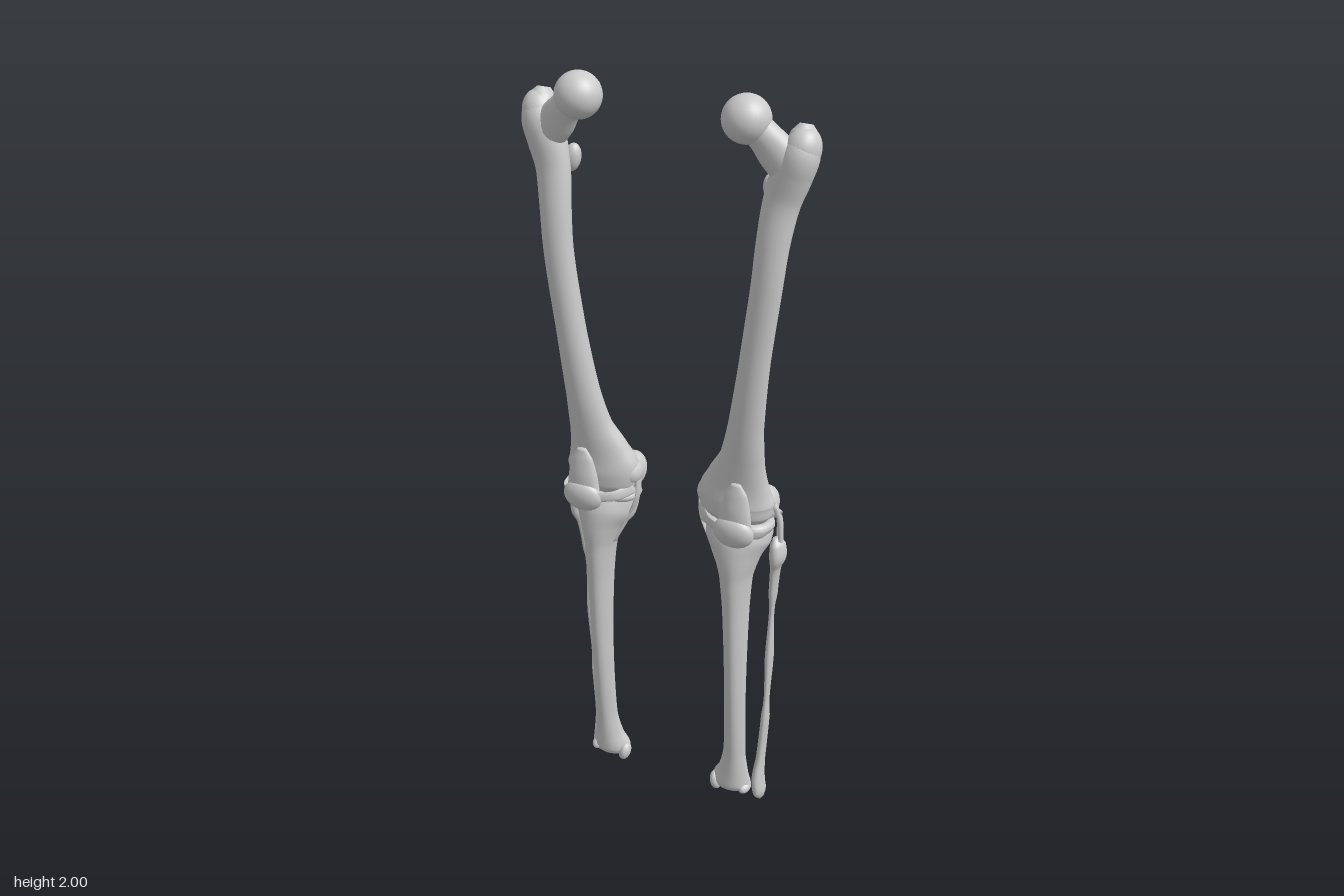
import * as THREE from 'three';

const material = new THREE.MeshStandardMaterial({ color: 0xcccccc, side: THREE.DoubleSide });

// Smooth closed sweep through rows [x, y, z, halfWidth, halfDepth];
// ridge > 0 makes the section three-cornered with one corner to the front.
function sweep(rows, { ridge = 0, sides = 24, steps = 6, m = 1 } = {}) {
  const path = new THREE.CatmullRomCurve3(rows.map(r => new THREE.Vector3(r[0] * m, r[1], r[2])));
  const size = new THREE.CatmullRomCurve3(rows.map(r => new THREE.Vector3(r[3], r[4], 0)));
  const n = (rows.length - 1) * steps;
  const pos = [], index = [];
  const front = new THREE.Vector3(0, 0, 1);
  const ring = (t, k) => {
    const c = path.getPoint(t), r = size.getPoint(t), T = path.getTangent(t);
    const side = T.clone().cross(front).normalize();
    const up = side.clone().cross(T);
    for (let j = 0; j < sides; j++) {
      const a = (j / sides) * Math.PI * 2;
      const f = k * (1 - ridge * Math.sin(3 * a));
      const p = c.clone().addScaledVector(side, Math.cos(a) * r.x * f).addScaledVector(up, Math.sin(a) * r.y * f);
      pos.push(p.x, p.y, p.z);
    }
  };
  ring(0, 0);
  for (let i = 0; i <= n; i++) ring(i / n, 1);
  ring(1, 0);
  for (let i = 0; i < n + 2; i++) {
    for (let j = 0; j < sides; j++) {
      const k = (j + 1) % sides, a = i * sides + j, b = i * sides + k;
      index.push(a, a + sides, b, b, a + sides, b + sides);
    }
  }
  const g = new THREE.BufferGeometry();
  g.setAttribute('position', new THREE.Float32BufferAttribute(pos, 3));
  g.setIndex(index);
  g.computeVertexNormals();
  return g;
}

function createLeg(m) {
  const leg = new THREE.Group();
  const add = (name, geometry) => {
    const mesh = new THREE.Mesh(geometry, material);
    mesh.name = name;
    leg.add(mesh);
    return mesh;
  };
  const bone = (name, rows, opt = {}) => add(name, sweep(rows, { ...opt, m }));
  const band = (name, w, d, pts) => add(name, sweep(pts.map(p => [...p, w, d]), { sides: 10, m }));
  const blob = (name, [x, y, z], [rx, ry, rz], tilt = 0, lean = 0) => {
    const mesh = add(name, new THREE.SphereGeometry(1, 28, 20).scale(rx, ry, rz));
    mesh.position.set(x * m, y, z);
    mesh.rotation.set(lean, 0, tilt * m);
  };

  // Thigh bone: shaft with the flared upper and lower ends
  bone('femurShaft', [
    [0.312, 1.937, -0.008, 0.014, 0.02], [0.312, 1.92, -0.002, 0.029, 0.032],
    [0.31, 1.875, 0.015, 0.043, 0.046], [0.294, 1.83, 0.02, 0.046, 0.042],
    [0.277, 1.77, 0.027, 0.042, 0.034], [0.266, 1.68, 0.042, 0.038, 0.032],
    [0.258, 1.58, 0.05, 0.036, 0.032], [0.236, 1.4, 0.048, 0.036, 0.034],
    [0.214, 1.22, 0.036, 0.043, 0.036], [0.201, 1.12, 0.022, 0.056, 0.039],
    [0.187, 1.05, 0.008, 0.08, 0.047], [0.18, 1.0, 0.0, 0.097, 0.057],
    [0.181, 0.965, 0.0, 0.092, 0.055], [0.181, 0.945, 0.0, 0.075, 0.042]]);
  bone('femurNeck', [
    [0.3, 1.835, 0.02, 0.045, 0.036], [0.265, 1.875, 0.026, 0.045, 0.034],
    [0.232, 1.915, 0.036, 0.037, 0.032], [0.2, 1.945, 0.043, 0.036, 0.036]]);
  blob('femurHead', [0.198, 1.947, 0.044], [0.054, 0.053, 0.054]);
  blob('greaterTrochanter', [0.312, 1.885, 0.01], [0.041, 0.052, 0.045], -0.25);
  blob('lesserTrochanter', [0.243, 1.785, -0.004], [0.02, 0.034, 0.02], 0.2);

  // Rounded knuckles of the knee
  blob('medialCondyle', [0.125, 0.975, -0.045], [0.036, 0.048, 0.05]);
  blob('lateralCondyle', [0.238, 0.97, -0.043], [0.034, 0.045, 0.047]);
  blob('medialEpicondyle', [0.107, 0.995, -0.005], [0.03, 0.035, 0.035]);

  // Kneecap below its pointed tendon
  bone('kneecapTendon', [
    [0.205, 1.072, 0.066, 0.012, 0.006], [0.205, 1.045, 0.066, 0.028, 0.013],
    [0.204, 1.0, 0.066, 0.038, 0.02], [0.203, 0.95, 0.068, 0.045, 0.02]]);
  blob('kneecap', [0.203, 0.942, 0.073], [0.052, 0.043, 0.026], 0, 0.12);

  // Cartilage pads
  for (const [name, x] of [['medialMeniscus', 0.132], ['lateralMeniscus', 0.228]]) {
    const pad = add(name, new THREE.TorusGeometry(0.034, 0.013, 10, 32).rotateX(Math.PI / 2).scale(1, 1, 1.2));
    pad.position.set(x * m, 0.93, -0.008);
    pad.rotation.x = -0.12;
  }

  // Shin bone with inner ankle
  bone('tibia', [
    [0.182, 0.925, -0.012, 0.07, 0.042], [0.182, 0.91, -0.01, 0.086, 0.054],
    [0.183, 0.88, 0.002, 0.082, 0.057], [0.186, 0.84, 0.013, 0.06, 0.052],
    [0.188, 0.78, 0.018, 0.042, 0.045], [0.19, 0.68, 0.018, 0.034, 0.039],
    [0.192, 0.5, 0.015, 0.029, 0.032], [0.192, 0.33, 0.008, 0.028, 0.027],
    [0.191, 0.2, 0.0, 0.03, 0.025], [0.187, 0.13, -0.006, 0.041, 0.028],
    [0.182, 0.09, -0.01, 0.054, 0.031], [0.182, 0.075, -0.01, 0.049, 0.027]], { ridge: 0.08 });
  blob('innerAnkle', [0.139, 0.078, -0.006], [0.016, 0.028, 0.022], 0.2);
  blob('outerTibiaCorner', [0.221, 0.08, -0.01], [0.017, 0.017, 0.026]);

  // Slender outer bone of the lower leg
  bone('fibula', [
    [0.27, 0.878, -0.042, 0.008, 0.011], [0.275, 0.86, -0.04, 0.019, 0.024],
    [0.277, 0.83, -0.038, 0.021, 0.027], [0.271, 0.79, -0.044, 0.013, 0.019],
    [0.264, 0.7, -0.052, 0.011, 0.015], [0.259, 0.5, -0.057, 0.011, 0.015],
    [0.253, 0.3, -0.062, 0.011, 0.015], [0.244, 0.15, -0.062, 0.012, 0.016],
    [0.241, 0.08, -0.056, 0.017, 0.024], [0.244, 0.045, -0.057, 0.018, 0.025],
    [0.246, 0.015, -0.066, 0.011, 0.014], [0.246, 0.003, -0.068, 0.005, 0.007]], { ridge: 0.08 });

  // Ligaments around the knee
  band('outerLigament', 0.006, 0.009, [[0.272, 0.985, -0.02], [0.281, 0.93, -0.036], [0.284, 0.85, -0.042]]);
  band('innerLigament', 0.005, 0.014, [[0.086, 1.0, -0.005], [0.088, 0.93, -0.002], [0.115, 0.86, 0.0], [0.148, 0.79, 0.012]]);
  band('backCrossLigament', 0.012, 0.006, [[0.205, 0.985, -0.045], [0.185, 0.955, -0.07], [0.16, 0.915, -0.088], [0.14, 0.885, -0.058]]);
  band('frontCrossLigament', 0.01, 0.006, [[0.16, 0.98, -0.04], [0.185, 0.95, -0.055], [0.205, 0.915, -0.05]]);
  band('backOuterLigament', 0.009, 0.004, [[0.225, 0.955, -0.088], [0.258, 0.915, -0.088], [0.274, 0.86, -0.06]]);
  band('kneePitTendon', 0.009, 0.005, [[0.274, 0.965, -0.03], [0.262, 0.93, -0.076], [0.225, 0.895, -0.08], [0.195, 0.85, -0.045]]);
  band('innerKneecapBand', 0.014, 0.003, [[0.165, 0.95, 0.082], [0.125, 0.948, 0.052], [0.09, 0.96, 0.014]]);
  band('outerKneecapBand', 0.014, 0.003, [[0.24, 0.945, 0.076], [0.265, 0.935, 0.046], [0.275, 0.93, 0.0]]);
  return leg;
}

export function createModel() {
  const model = new THREE.Group();
  model.name = 'legBones';
  for (const [name, m] of [['leftLeg', 1], ['rightLeg', -1]]) {
    const leg = createLeg(m);
    leg.name = name;
    model.add(leg);
  }
  return model;
}
